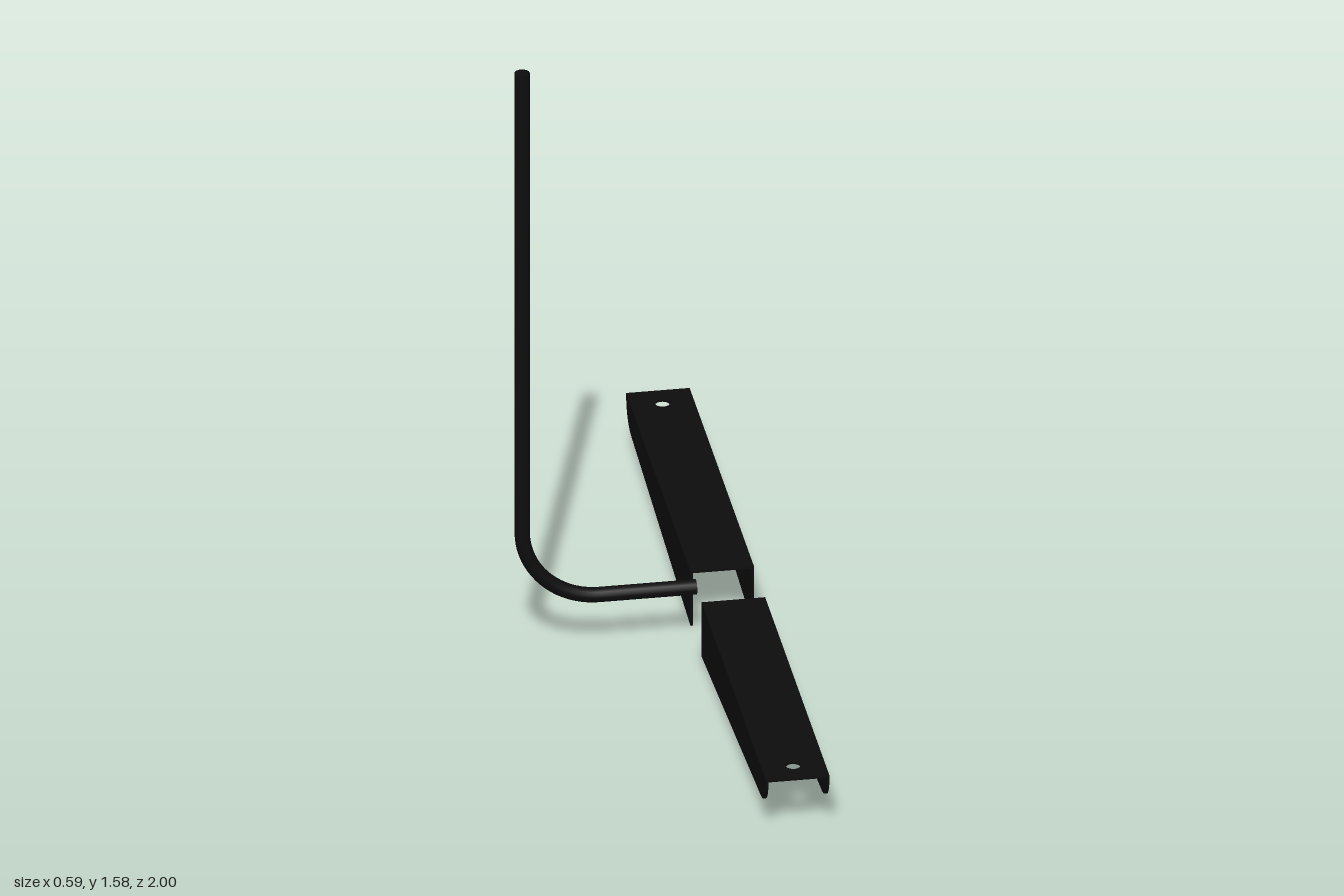
import * as THREE from 'three';

const black = new THREE.MeshStandardMaterial({ color: 0x0d0d0d });
const T = 0.006;            // sheet thickness
const TOP = 0.148;          // top of the brackets
const HALF = 0.077;         // half width of a bracket
const Z0 = 0.08, Z1 = 1;    // inner and outer ends of a bracket

function part(name, geometry, parent) {
  const mesh = new THREE.Mesh(geometry, black);
  mesh.name = name;
  parent.add(mesh);
  return mesh;
}

// U-shaped channel, open below, tapering towards its rounded outer end
function makeBracket(name) {
  const bracket = new THREE.Group();
  bracket.name = name;

  const plate = new THREE.Shape();
  plate.moveTo(-HALF, Z0).lineTo(HALF, Z0).lineTo(HALF, Z1).lineTo(-HALF, Z1).closePath();
  plate.holes.push(new THREE.Path().absarc(0, 0.935, 0.018, 0, Math.PI * 2, true));
  const plateGeo = new THREE.ExtrudeGeometry(plate, { depth: T, bevelEnabled: false, curveSegments: 16 });
  plateGeo.rotateX(Math.PI / 2).translate(0, TOP, 0);
  part('topPlate', plateGeo, bracket);

  const wall = new THREE.Shape();
  wall.moveTo(Z0, 0).lineTo(0.925, 0.069);
  wall.bezierCurveTo(0.97, 0.073, Z1, 0.1, Z1, 0.142);
  wall.lineTo(Z0, TOP - T).closePath();
  const wallGeo = new THREE.ExtrudeGeometry(wall, { depth: T, bevelEnabled: false, curveSegments: 12 });
  wallGeo.rotateY(-Math.PI / 2);
  part('leftWall', wallGeo, bracket).position.x = HALF;
  part('rightWall', wallGeo, bracket).position.x = T - HALF;

  bracket.position.x = 0.22;
  return bracket;
}

// Upright rod that bends into a horizontal foot
function makeRod() {
  const rod = new THREE.Group();
  rod.name = 'bentRod';
  const r = 0.0185, x = -0.279, bend = 0.187, height = 1.578, end = 0.143;
  const v = (a, b) => new THREE.Vector3(a, b, 0);
  const sides = 16;

  const straight = (name, length) =>
    part(name, new THREE.CylinderGeometry(r, r, length, sides), rod);
  const uprightLength = height - TOP - bend;
  straight('upright', uprightLength).position.set(x, height - uprightLength / 2, 0);

  const footLength = end - x - bend;
  const foot = straight('foot', footLength);
  foot.rotation.z = Math.PI / 2;
  foot.position.set(end - footLength / 2, TOP, 0);

  // cubic approximation of a quarter circle
  const k = bend * (1 - 0.5523);
  const curve = new THREE.CubicBezierCurve3(
    v(x, TOP + bend), v(x, TOP + k), v(x + k, TOP), v(x + bend, TOP));
  part('bend', new THREE.TubeGeometry(curve, 20, r, sides), rod);
  return rod;
}

export function createModel() {
  const model = new THREE.Group();
  model.name = 'bracketStand';
  const front = makeBracket('frontBracket');
  const back = makeBracket('backBracket');
  back.rotation.y = Math.PI;
  model.add(front, back, makeRod());
  return model;
}
